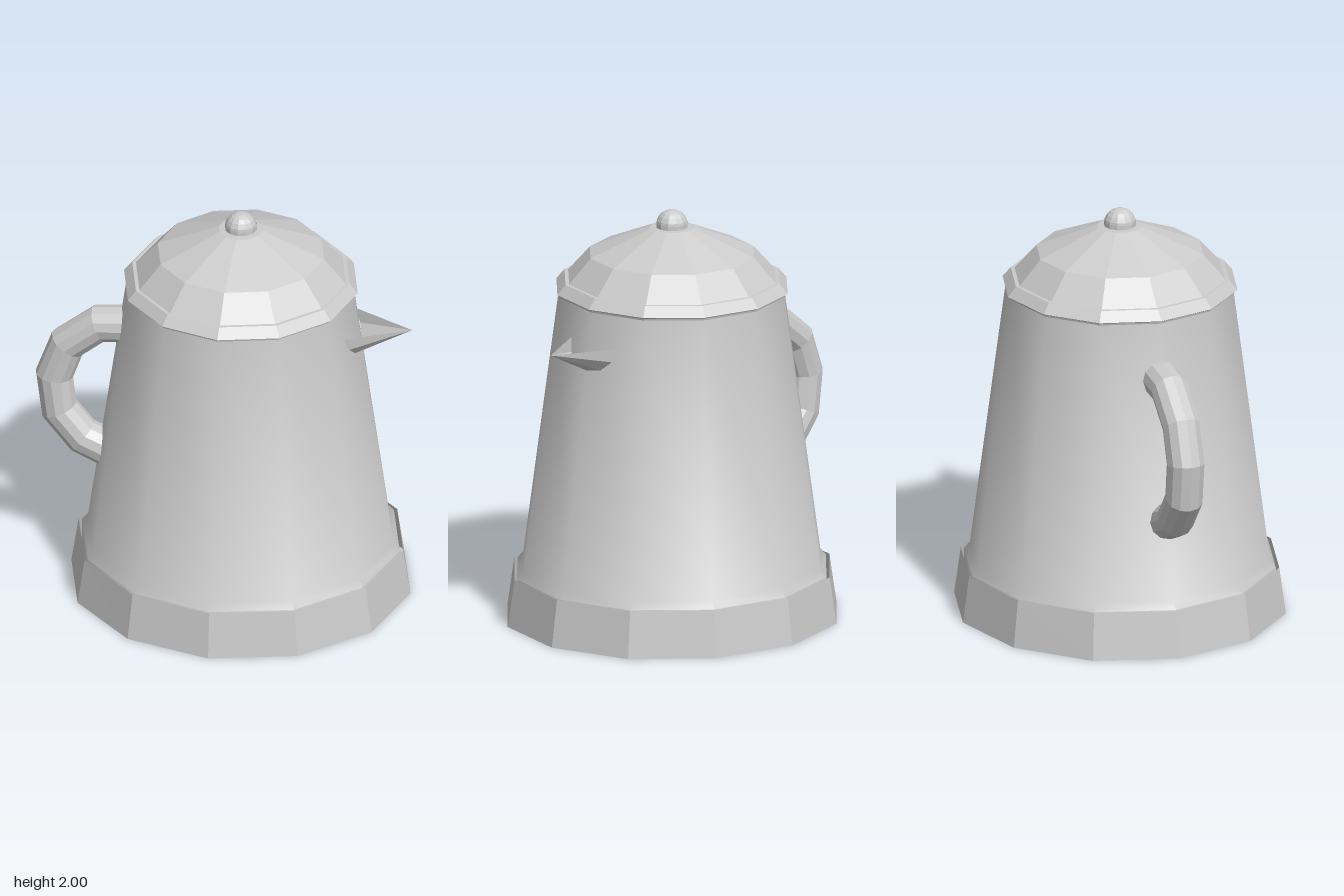
import * as THREE from 'three';
import { toCreasedNormals } from 'three/addons/utils/BufferGeometryUtils.js';

const SIDES = 12;
const smooth = new THREE.MeshStandardMaterial({ color: 0xcccccc, side: THREE.DoubleSide });
const faceted = new THREE.MeshStandardMaterial({ color: 0xcccccc, flatShading: true, side: THREE.DoubleSide });

function part(name, geometry, material) {
  const mesh = new THREE.Mesh(geometry, material);
  mesh.name = name;
  return mesh;
}

// Twelve-sided turned shape from [radius, height] pairs, bottom to top;
// it grows slightly wider across x towards the foot
function turned(profile) {
  const geometry = new THREE.LatheGeometry(profile.map(([r, y]) => new THREE.Vector2(r, y)), SIDES);
  const p = geometry.attributes.position;
  for (let i = 0; i < p.count; i++) {
    p.setX(i, p.getX(i) * (1 + 0.034 * Math.max(0, 1 - p.getY(i) / 1.6)));
  }
  return geometry;
}

// Path that steps exactly through its points, so a tube keeps hard bends
class SteppedPath extends THREE.Curve {
  constructor(points) {
    super();
    this.points = points;
  }
  index(u) {
    return Math.round(u * (this.points.length - 1));
  }
  getPointAt(u, target = new THREE.Vector3()) {
    return target.copy(this.points[this.index(u)]);
  }
  getTangentAt(u, target = new THREE.Vector3()) {
    const i = this.index(u), p = this.points;
    const into = p[i].clone().sub(p[Math.max(i - 1, 0)]).normalize();
    const out = p[Math.min(i + 1, p.length - 1)].clone().sub(p[i]).normalize();
    return target.copy(into).add(out).normalize();
  }
}

// Open half cone running from the pot wall to a pointed tip
function spoutGeometry() {
  const tip = [0.91, 1.45, 0];
  const steps = 6, positions = [];
  const rim = (i) => {
    const a = (i / steps) * Math.PI;
    return [0.605 + 0.05 * Math.sin(a), 1.45 - 0.13 * Math.sin(a), 0.155 * Math.cos(a)];
  };
  for (let i = 0; i < steps; i++) positions.push(...rim(i), ...rim(i + 1), ...tip);
  const geometry = new THREE.BufferGeometry();
  geometry.setAttribute('position', new THREE.Float32BufferAttribute(positions, 3));
  geometry.computeVertexNormals();
  return geometry;
}

export function createModel() {
  const model = new THREE.Group();
  model.name = 'coffeePot';

  // Turned parts share one axis
  const pot = new THREE.Group();
  pot.name = 'pot';
  pot.position.x = 0.078;
  model.add(pot);

  // Tapered body, open under the lid, with a small flare above the foot
  const body = turned([[0, 0.04], [0.75, 0.04], [0.75, 0.228], [0.722, 0.262], [0.55, 1.61]]);
  pot.add(part('body', toCreasedNormals(body, 0.75), smooth));

  // Open skirt around the foot
  pot.add(part('baseSkirt', turned([[0.797, 0], [0.766, 0.23]]), faceted));

  // Lid with a stepped rim and faceted dome
  const lid = turned([
    [0.552, 1.605], [0.555, 1.615], [0.568, 1.622], [0.528, 1.67],
    [0.51, 1.67], [0.404, 1.79], [0.108, 1.915], [0, 1.92],
  ]);
  pot.add(part('lid', lid, faceted));

  // Round knob on a short neck
  const neck = part('knobNeck', new THREE.CylinderGeometry(0.077, 0.077, 0.03, SIDES, 1, true), faceted);
  neck.position.y = 1.922;
  const knob = part('knob', new THREE.SphereGeometry(0.077, SIDES, 10), faceted);
  knob.position.y = 1.925;
  pot.add(neck, knob);

  // Angular handle whose ends run into the body
  const path = [
    [-0.46, 1.33], [-0.61, 1.315], [-0.765, 1.19], [-0.828, 1.015],
    [-0.805, 0.83], [-0.69, 0.69], [-0.55, 0.63],
  ].map(([x, y]) => new THREE.Vector3(x, y, 0));
  const handle = new THREE.TubeGeometry(new SteppedPath(path), path.length - 1, 0.091, SIDES);
  model.add(part('handle', handle, faceted));

  model.add(part('spout', spoutGeometry(), faceted));
  return model;
}
